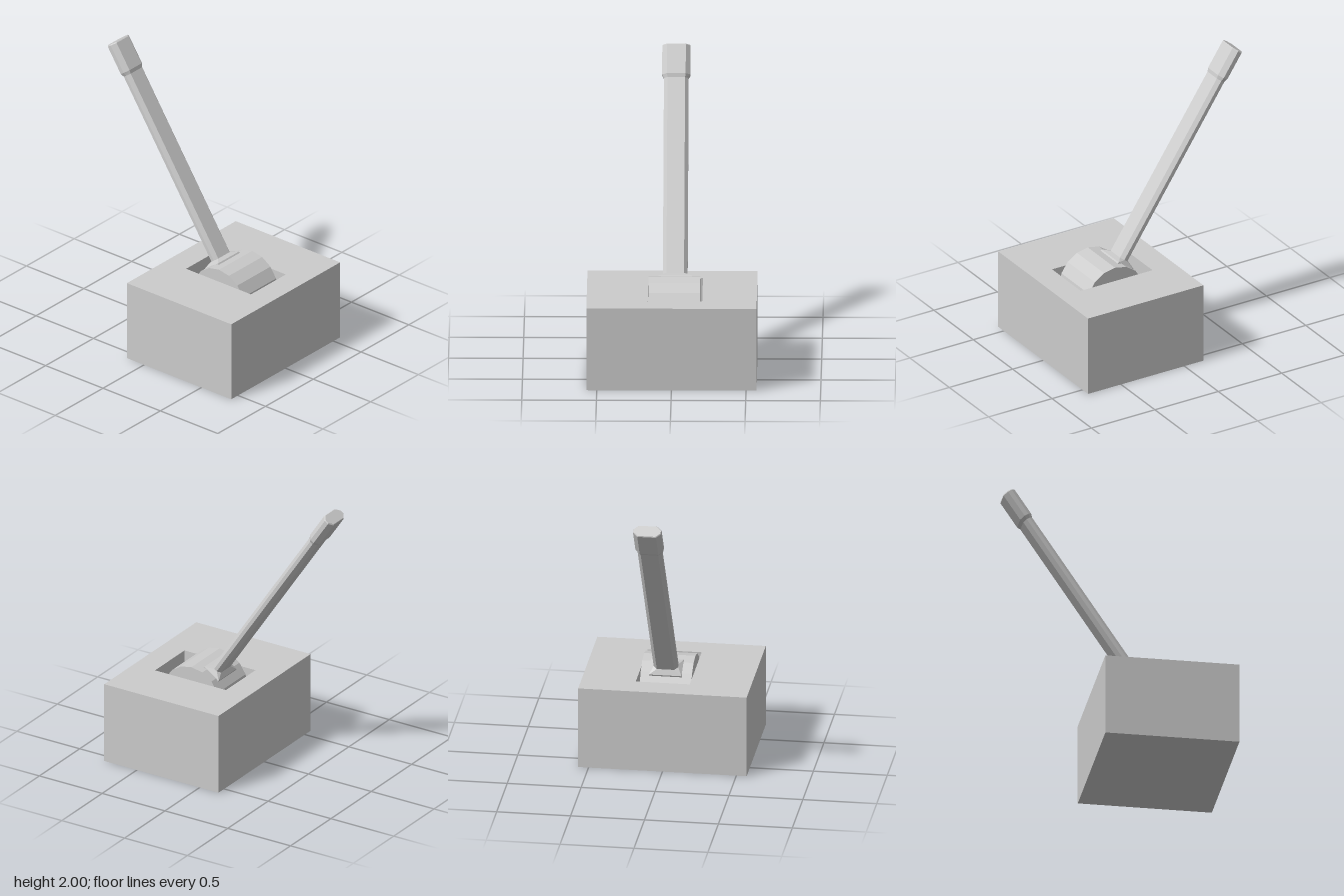
import * as THREE from 'three';

const mat = new THREE.MeshStandardMaterial({ color: 0xcccccc, flatShading: true });

function add(parent, name, geometry, x = 0, y = 0, z = 0) {
  const mesh = new THREE.Mesh(geometry, mat);
  mesh.name = name;
  mesh.position.set(x, y, z);
  parent.add(mesh);
  return mesh;
}

// Chamfered rectangle at height y: half width w, half depth d, chamfer cw by cd
function ring([y, w, d, cw, cd]) {
  return [
    [w - cw, d], [w, d - cd], [w, cd - d], [w - cw, -d],
    [cw - w, -d], [-w, cd - d], [-w, d - cd], [cw - w, d],
  ].map(([x, z]) => [x, y, z]);
}

// Skin a stack of chamfered rectangles (bottom to top) and cap both ends
function loft(sections) {
  const rings = sections.map(ring);
  const pos = [];
  const tri = (a, b, c) => pos.push(...a, ...b, ...c);
  for (let s = 0; s < rings.length - 1; s++) {
    for (let i = 0; i < 8; i++) {
      const j = (i + 1) % 8;
      const [a, b, c, d] = [rings[s][i], rings[s][j], rings[s + 1][j], rings[s + 1][i]];
      tri(a, b, c);
      tri(a, c, d);
    }
  }
  const bottom = rings[0], top = rings[rings.length - 1];
  for (let i = 1; i < 7; i++) {
    tri(top[0], top[i], top[i + 1]);
    tri(bottom[0], bottom[i + 1], bottom[i]);
  }
  const g = new THREE.BufferGeometry();
  g.setAttribute('position', new THREE.Float32BufferAttribute(pos, 3));
  g.computeVertexNormals();
  return g;
}

function rectangle(PathType, x0, x1, z0, z1) {
  const p = new PathType();
  p.moveTo(x0, -z1);
  p.lineTo(x1, -z1);
  p.lineTo(x1, -z0);
  p.lineTo(x0, -z0);
  p.closePath();
  return p;
}

export function createModel() {
  const model = new THREE.Group();
  model.name = 'leverSwitch';

  // Housing: solid floor below, slotted frame above
  const housing = new THREE.Group();
  housing.name = 'housing';
  model.add(housing);
  const floorY = 0.19, topY = 0.57;
  add(housing, 'housingFloor', new THREE.BoxGeometry(1.14, floorY, 0.91), 0, floorY / 2, 0.305);
  const frame = rectangle(THREE.Shape, -0.57, 0.57, -0.15, 0.76);
  frame.holes.push(rectangle(THREE.Path, -0.16, 0.205, 0.025, 0.59));
  const frameGeo = new THREE.ExtrudeGeometry(frame, { depth: topY - floorY, bevelEnabled: false });
  frameGeo.rotateX(-Math.PI / 2);
  add(housing, 'housingFrame', frameGeo, 0, floorY, 0);

  // Faceted drum turning inside the slot
  const drumGeo = new THREE.CylinderGeometry(0.225, 0.225, 0.347, 16);
  drumGeo.rotateZ(Math.PI / 2);
  add(model, 'drum', drumGeo, 0.016, 0.435, 0.31);

  // Lever, radial to the drum and tilted to the middle of a facet
  const lever = new THREE.Group();
  lever.name = 'lever';
  lever.position.set(0.021, 0.435, 0.31);
  lever.rotation.x = -THREE.MathUtils.degToRad(33.75);
  model.add(lever);
  add(lever, 'leverCollar', loft([
    [0.205, 0.112, 0.07, 0, 0],
    [0.221, 0.11, 0.068, 0, 0],
    [0.245, 0.083, 0.036, 0.024, 0.024],
  ]));
  add(lever, 'leverShaft', loft([
    [0.2, 0.083, 0.036, 0.024, 0.024],
    [1.625, 0.083, 0.036, 0.024, 0.024],
  ]));
  add(lever, 'leverGrip', loft([
    [1.62, 0.083, 0.036, 0.024, 0.024],
    [1.645, 0.095, 0.045, 0.032, 0.03],
    [1.848, 0.095, 0.045, 0.032, 0.03],
    [1.855, 0.091, 0.041, 0.032, 0.028],
  ]));
  return model;
}
